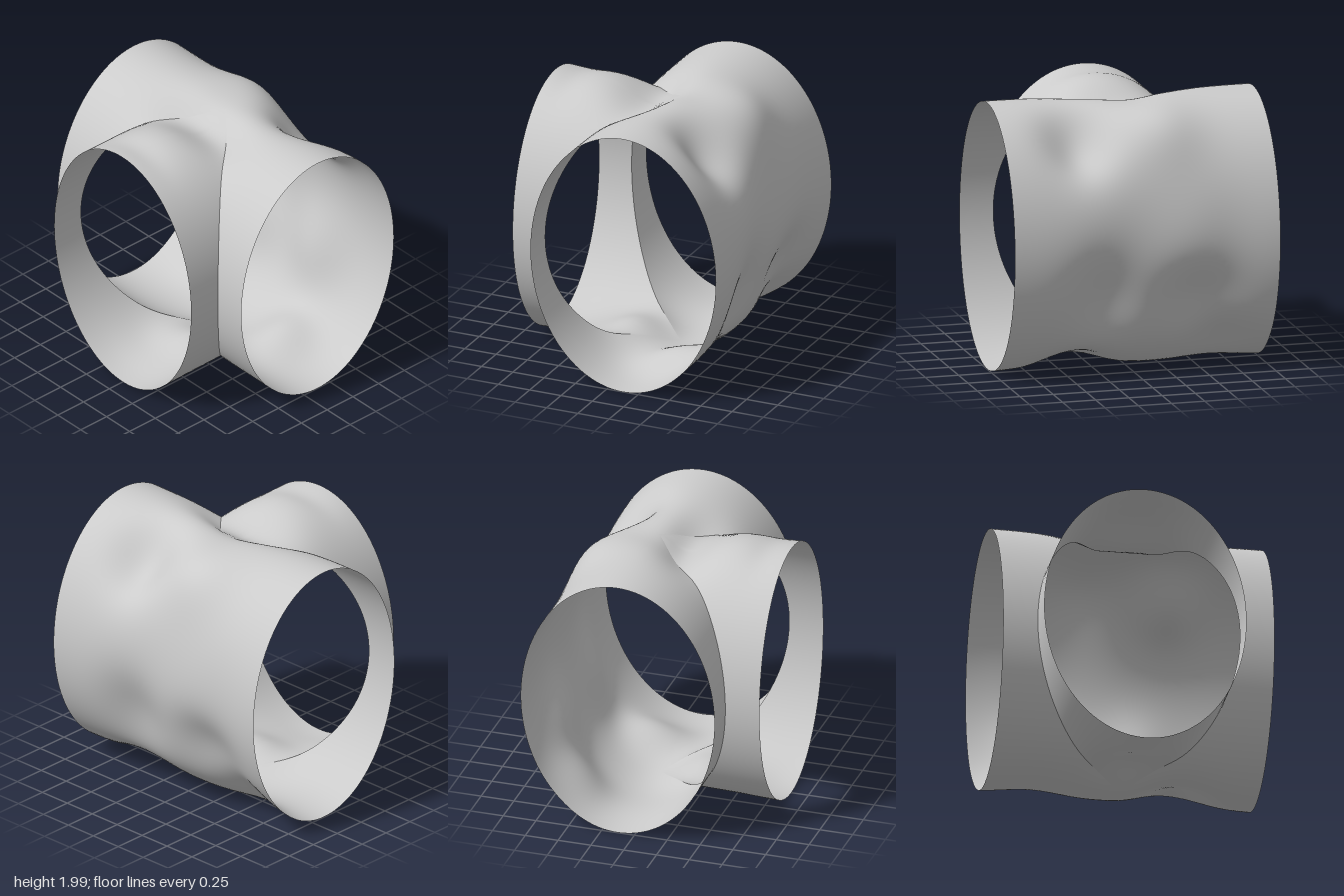
import * as THREE from 'three';
import { mergeGeometries, mergeVertices } from 'three/addons/utils/BufferGeometryUtils.js';

const RX = 0.745, RY = 0.993, RZ = 0.74; // elliptical radii
const CY = 0.993, CZ = -0.13;            // axis of the main pipe

// Soft dents and bulges: centre, spread, push
const DENTS = [
  [[0, 1.95, 0.14], [0.38, 0.35, 0.2], [0, -0.14, -0.04]],        // top of the joint
  [[0.03, 0.05, 0.23], [0.26, 0.35, 0.25], [0, 0.14, 0]],         // bottom of the joint
  [[0, 0, 0.58], [0.35, 0.3, 0.17], [0, 0.02, 0]],                // underside of the branch
  [[0.43, 1.77, -0.55], [0.25, 0.32, 0.27], [0, -0.14, 0.08]],    // upper back
  [[-0.2, 1.81, -0.56], [0.27, 0.32, 0.28], [0, 0.05, -0.05]],    // bulge beside it
  [[0.42, 0.04, -0.28], [0.25, 0.25, 0.27], [0, 0.13, 0]],        // underside
  [[0.27, 0.6, -0.82], [0.28, 0.36, 0.3], [0, 0.02, 0.1]],        // back, one side
  [[-0.43, 0.55, -0.8], [0.32, 0.3, 0.3], [0, 0.04, 0.1]],        // back, other side
  [[-0.62, 0.2, -0.56], [0.26, 0.27, 0.28], [0, 0.06, 0.06]],     // its lower end
  [[0, 1.15, -0.87], [0.35, 0.5, 0.3], [0, 0, 0.035]],            // back centre
  [[-0.65, 1.0, -0.87], [0.25, 0.5, 0.3], [0, 0, 0.02]],
  [[-0.05, 1.98, -0.18], [0.2, 0.2, 0.2], [0, -0.025, 0]],
  [[-0.65, 0, -0.13], [0.25, 0.2, 0.3], [0, 0.015, 0]],
  [[0, 1.98, 0.7], [0.3, 0.2, 0.12], [0, -0.025, 0]],             // branch rim
];

function dent(p) {
  const out = p.clone();
  for (const [c, s, v] of DENTS) {
    const w = Math.exp(-(((p.x - c[0]) / s[0]) ** 2 + ((p.y - c[1]) / s[1]) ** 2 + ((p.z - c[2]) / s[2]) ** 2));
    out.addScaledVector(new THREE.Vector3(...v), w);
  }
  return out;
}

// Grid swept around an angle and along the pipe
function sweep(point, around = 128, along = 32) {
  const pos = [], index = [];
  for (let i = 0; i <= around; i++) {
    const a = ((i % around) / around) * Math.PI * 2;
    for (let j = 0; j <= along; j++) pos.push(...dent(point(a, j / along)).toArray());
  }
  for (let i = 0; i < around; i++) {
    for (let j = 0; j < along; j++) {
      const p = i * (along + 1) + j, q = p + along + 1;
      index.push(p, q, p + 1, q, q + 1, p + 1);
    }
  }
  const g = new THREE.BufferGeometry();
  g.setAttribute('position', new THREE.Float32BufferAttribute(pos, 3));
  g.setIndex(index);
  return g;
}

function smooth(geometry) {
  const g = mergeVertices(geometry, 1e-4);
  g.computeVertexNormals();
  return g;
}

export function createModel() {
  const group = new THREE.Group();
  group.name = 'pipeTee';
  const material = new THREE.MeshStandardMaterial({ color: 0xcccccc, side: THREE.DoubleSide });
  const add = (name, geometry) => {
    const mesh = new THREE.Mesh(smooth(geometry), material);
    mesh.name = name;
    group.add(mesh);
  };

  // Main pipe along x, cut away at the front where the branch joins
  const half = (side) => sweep((a, t) => {
    const inner = RX * Math.max(0, Math.cos(a));
    const x = side > 0 ? inner + (1 - inner) * t : -1 + (1 - inner) * t;
    return new THREE.Vector3(x, CY - RY * Math.sin(a), CZ + RZ * Math.cos(a));
  });
  add('mainPipe', mergeGeometries([half(-1), half(1)]));

  // Branch pipe towards the front, mitred onto the main pipe
  add('branchPipe', sweep((a, t) => {
    const start = CZ + RZ * Math.abs(Math.cos(a));
    return new THREE.Vector3(RX * Math.cos(a), CY + RY * Math.sin(a), start + (0.87 - start) * t);
  }));
  return group;
}
